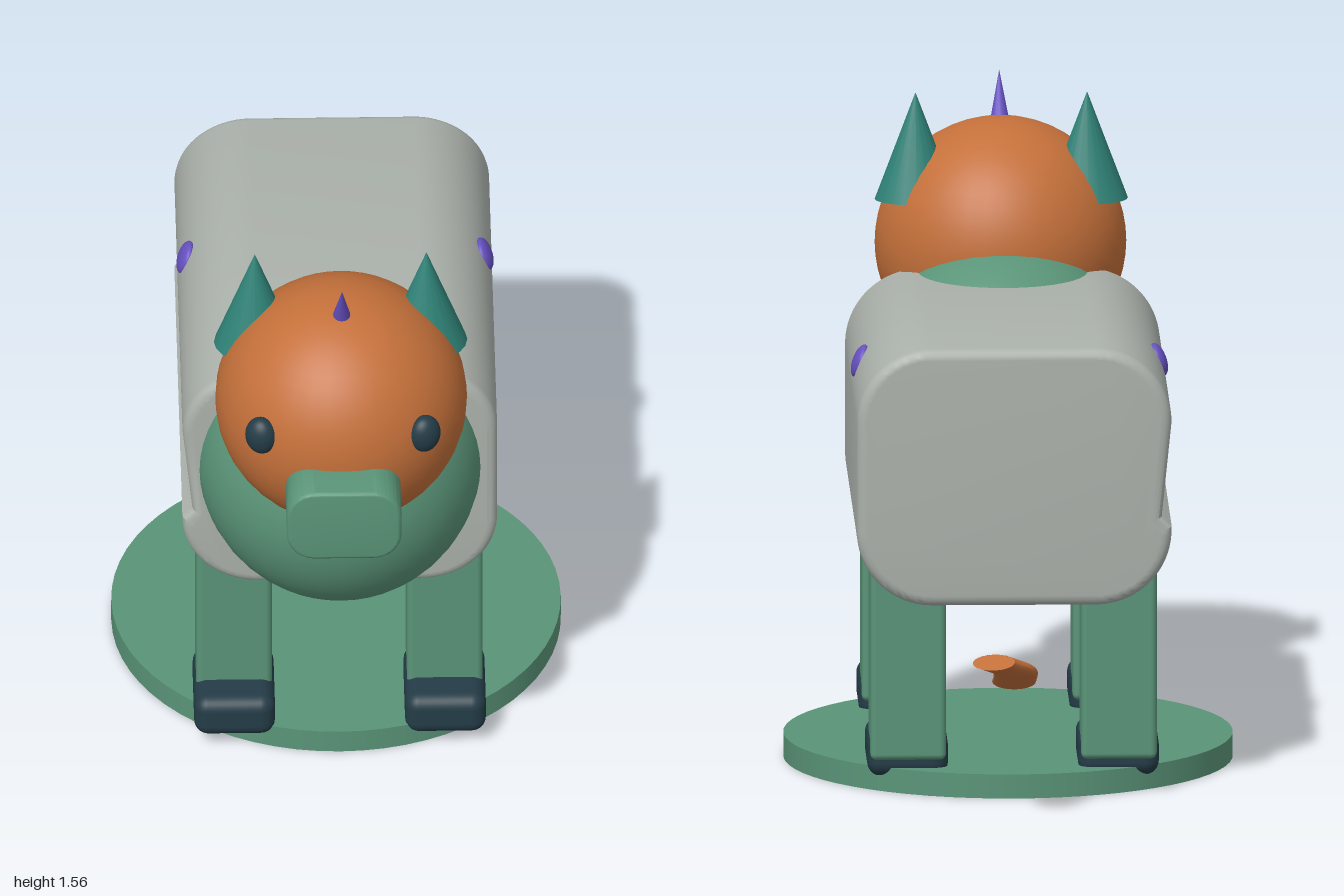
import * as THREE from 'three';
import { toCreasedNormals } from 'three/addons/utils/BufferGeometryUtils.js';
import { RoundedBoxGeometry } from 'three/addons/geometries/RoundedBoxGeometry.js';

function material(name, color) {
  const m = new THREE.MeshStandardMaterial({ color });
  m.name = name;
  return m;
}

// Rounded rectangle; notch > 0 pulls in the outline's start to leave a groove on the -x side
function roundedShape(w, h, r, notch = 0) {
  const s = new THREE.Shape();
  s.moveTo(-w + notch, -h + r + notch);
  s.lineTo(-w, h - r);
  s.absarc(-w + r, h - r, r, Math.PI, Math.PI / 2, true);
  s.absarc(w - r, h - r, r, Math.PI / 2, 0, true);
  s.absarc(w - r, -h + r, r, 0, -Math.PI / 2, true);
  s.absarc(-w + r, -h + r, r, -Math.PI / 2, -Math.PI, true);
  s.closePath();
  return s;
}

// Bevelled extrusion running along z from z0 to z1
function extruded(shape, z0, z1, bevel) {
  const geo = new THREE.ExtrudeGeometry(shape, {
    depth: z1 - z0 - 2 * bevel, bevelSize: bevel, bevelThickness: bevel,
    bevelSegments: 4, curveSegments: 12,
  });
  geo.translate(0, 0, z0 + bevel);
  return toCreasedNormals(geo, 0.6);
}

export function createModel() {
  const model = new THREE.Group();
  model.name = 'animal';
  const green = material('green', 0x5a9478);
  const grey = material('grey', 0xabb1ab);
  const orange = material('orange', 0xc4703a);
  const teal = material('teal', 0x2f8277);
  const dark = material('darkBlue', 0x243c47);
  const purple = material('purple', 0x6650c0);
  orange.side = THREE.DoubleSide;

  function add(name, geometry, mat, x, y, z) {
    const mesh = new THREE.Mesh(geometry, mat);
    mesh.name = name;
    mesh.position.set(x, y, z);
    model.add(mesh);
    return mesh;
  }
  function ellipsoid(name, mat, x, y, z, rx, ry, rz) {
    const mesh = add(name, new THREE.SphereGeometry(1, 40, 28), mat, x, y, z);
    mesh.scale.set(rx, ry, rz);
    return mesh;
  }

  // Stand
  add('base', new THREE.CylinderGeometry(0.55, 0.55, 0.06, 64), green, 0, 0.03, -0.05);

  // Trunk, chest and head
  add('body', extruded(roundedShape(0.36, 0.295, 0.16, 0.025), -0.61, 0.455, 0.025), grey, 0, 0.8, 0);
  ellipsoid('chest', green, 0, 0.828, 0.39, 0.35, 0.363, 0.36);
  ellipsoid('head', orange, 0, 1.155, 0.6, 0.308, 0.308, 0.308);
  add('snout', extruded(roundedShape(0.13, 0.09, 0.06), 0.75, 1.0, 0.01), green, 0, 1.055, 0);

  // Horn leaning forward
  const horn = add('horn', new THREE.ConeGeometry(0.024, 0.13, 16), purple, 0, 1.5, 0.688);
  horn.rotation.x = 0.42;

  for (const s of [-1, 1]) {
    const side = s > 0 ? 'left' : 'right';
    const ear = add(side + 'Ear', new THREE.ConeGeometry(0.1, 0.265, 20), teal, s * 0.21, 1.4075, 0.53);
    ear.scale.z = 0.9;
    const eye = ellipsoid(side + 'Eye', dark, s * 0.2, 1.21, 0.828, 0.04, 0.05, 0.033);
    eye.rotation.y = s * 0.4;
    const spot = ellipsoid(side + 'Spot', purple, s * 0.366, 1.01, -0.175, 0.018, 0.042, 0.041);
    spot.rotation.z = s * 0.35;

    // Legs and feet
    for (const [end, z] of [['Front', 0.298], ['Back', -0.45]]) {
      add(side + end + 'Leg', new RoundedBoxGeometry(0.185, 0.515, 0.195, 3, 0.015), green, s * 0.258, 0.3425, z);
      add(side + end + 'Foot', new RoundedBoxGeometry(0.198, 0.11, 0.255, 4, 0.035), dark, s * 0.258, 0.09, z + 0.065);
    }
  }

  // Tail: a round tube flattened vertically
  const squash = 0.33;
  const path = new THREE.CatmullRomCurve3([
    [0, 0, 0], [0, 0.045, -0.14], [0.01, 0.083, -0.27], [0.06, 0.121, -0.376],
  ].map(([x, y, z]) => new THREE.Vector3(x, y / squash, z)));
  const tail = new THREE.Group();
  tail.name = 'tail';
  tail.position.set(0, 0.287, -0.573);
  tail.scale.y = squash;
  const tube = new THREE.Mesh(new THREE.TubeGeometry(path, 32, 0.054, 20), orange);
  tube.name = 'tailTube';
  tail.add(tube);
  for (const t of [0, 1]) {
    const cap = new THREE.Mesh(new THREE.CircleGeometry(0.054, 20), orange);
    cap.name = t ? 'tailTip' : 'tailRoot';
    cap.position.copy(path.getPointAt(t));
    const out = path.getTangentAt(t).multiplyScalar(t ? 1 : -1);
    cap.quaternion.setFromUnitVectors(new THREE.Vector3(0, 0, 1), out);
    tail.add(cap);
  }
  model.add(tail);

  return model;
}
